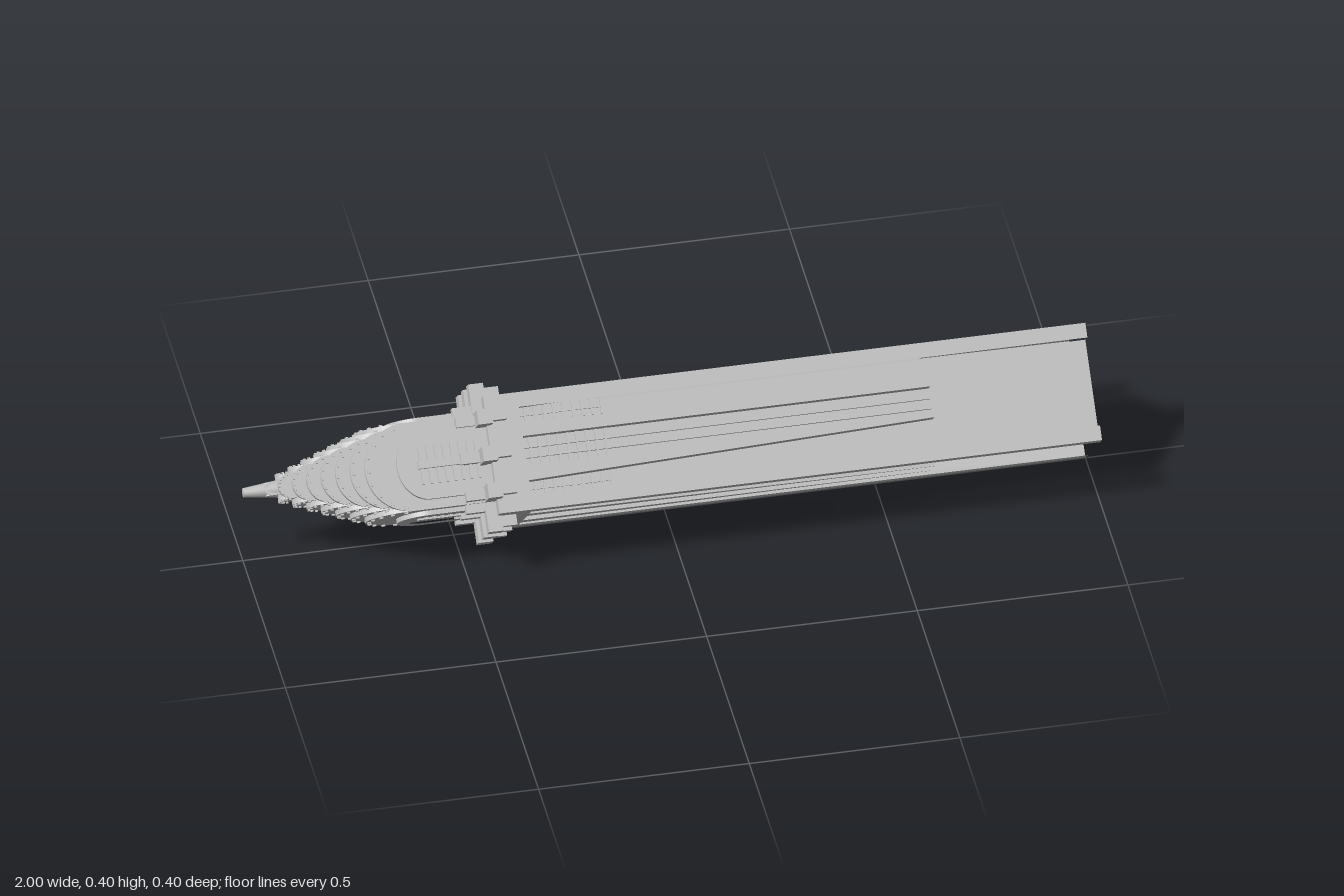
import * as THREE from 'three';
import { mergeGeometries } from 'three/addons/utils/BufferGeometryUtils.js';

const CORE = 0.104;   // half side of the square shaft
const RIM = 0.139;    // outer level of piers and collar
const AXIS = 0.197;   // height of the long axis

const stone = new THREE.MeshStandardMaterial({ color: 0xc0c0c0 });
stone.name = 'paleGrey';

function add(parent, name, geometry) {
  const mesh = new THREE.Mesh(geometry, stone);
  mesh.name = name;
  parent.add(mesh);
  return mesh;
}

// box between limits: x along the axis, n outward from the face, u across the face
function box(x0, x1, n0, n1, u0, u1) {
  return new THREE.BoxGeometry(x1 - x0, n1 - n0, u1 - u0)
    .translate((x0 + x1) / 2, (n0 + n1) / 2, (u0 + u1) / 2);
}

// flat-sided solid between two four-point sections [n, u]
function loft(x0, a, x1, b) {
  const A = a.map(([n, u]) => [x0, n, u]);
  const B = b.map(([n, u]) => [x1, n, u]);
  const pos = [];
  const tri = (...pts) => pts.forEach((p) => pos.push(...p));
  for (let i = 0; i < 4; i++) {
    const j = (i + 1) % 4;
    tri(A[i], A[j], B[j]);
    tri(A[i], B[j], B[i]);
  }
  tri(B[2], B[3], B[0]);
  tri(B[2], B[0], B[1]);
  tri(A[2], A[0], A[3]);
  tri(A[2], A[1], A[0]);
  const g = new THREE.BufferGeometry();
  g.setAttribute('position', new THREE.Float32BufferAttribute(pos, 3));
  g.computeVertexNormals();
  return g;
}

// arch outline opening toward +x, rounded toward -x
function arch(path, base, spring, rise, w) {
  path.moveTo(base, -w);
  path.lineTo(spring, -w);
  path.absellipse(spring, 0, rise, w, -Math.PI / 2, Math.PI / 2, true);
  path.lineTo(base, w);
  path.closePath();
  return path;
}

function extrudeOut(shape, n0, n1) {
  return new THREE.ExtrudeGeometry(shape, { depth: n1 - n0, bevelEnabled: false, curveSegments: 16 })
    .rotateX(-Math.PI / 2).translate(0, n0, 0);
}

// crown tiers: spring line and half width
const TIERS = [];
for (let i = 0; i < 8; i++) {
  TIERS.push({ spring: -0.62 - 0.045 * i, w: CORE * Math.pow(1 - i / 8, 0.9) });
}

function buildFace() {
  const face = new THREE.Group();

  // tapering corner rail that hollows into a thin angle at the far end
  add(face, 'cornerRail', loft(
    -0.43, [[CORE, CORE], [RIM, CORE], [RIM, RIM], [CORE, RIM]],
    1, [[RIM - 0.003, RIM - 0.003], [RIM, CORE], [RIM, RIM], [CORE, RIM]]));

  // piers narrowing toward the central bay
  for (const s of [-1, 1]) {
    const section = (outer) => {
      const pts = [[CORE, 0.035 * s], [RIM, 0.035 * s], [RIM, outer * s], [CORE, outer * s]];
      return s > 0 ? pts : pts.reverse();
    };
    add(face, 'taperedPier', loft(-0.36, section(0.07), 0.617, section(0.038)));
  }

  // collar band
  add(face, 'collar', box(-0.43, -0.35, 0.09, RIM, -RIM, RIM));

  // brackets with prongs on the collar
  for (const u of [-0.087, 0, 0.087]) {
    add(face, 'bracket', mergeGeometries([
      box(-0.455, -0.42, 0.1, 0.175, u - 0.0175, u + 0.0175),
      box(-0.42, -0.385, RIM - 0.005, 0.164, u - 0.01, u + 0.01),
      box(-0.5, -0.455, 0.1, 0.125, u - 0.012, u + 0.012),
    ]));
  }

  // window mullions and rungs on the shaft
  const bars = [];
  for (const u of [-0.0117, 0.0117]) bars.push(box(-0.35, 0.617, 0.1, 0.114, u - 0.0025, u + 0.0025));
  for (const u of [-0.087, 0.087]) bars.push(box(-0.35, -0.15, 0.1, 0.11, u - 0.002, u + 0.002));
  for (let i = 0; i < 9; i++) {
    const x = -0.335 + i * 0.0225;
    bars.push(box(x, x + 0.007, 0.1, 0.11, -0.035, 0.035));
    for (const s of [-0.087, 0.087]) bars.push(box(x, x + 0.007, 0.1, 0.109, s - 0.017, s + 0.017));
  }
  add(face, 'shaftWindowBars', mergeGeometries(bars));

  // arched window surround on the head
  const surround = arch(new THREE.Shape(), -0.44, -0.58, 0.07, 0.082);
  surround.holes.push(arch(new THREE.Path(), -0.45 + 0.015, -0.58, 0.042, 0.05));
  const outer = arch(new THREE.Shape(), -0.43, -0.58, 0.07, 0.082);
  outer.holes.push(arch(new THREE.Path(), -0.44, -0.58, 0.042, 0.05));
  add(face, 'windowArch', extrudeOut(outer, 0.1, 0.115));

  const grille = [box(-0.6, -0.44, 0.1, 0.115, -0.009, 0.009)];
  for (let i = 0; i < 8; i++) {
    const x = -0.595 + i * 0.019;
    grille.push(box(x, x + 0.007, 0.1, 0.111, -0.045, 0.045));
  }
  add(face, 'archGrille', mergeGeometries(grille));

  // small raised studs following each crown arch
  const studs = [];
  TIERS.slice(0, 7).forEach(({ spring, w }) => {
    const r = w * 0.92;
    const size = 0.002 + w * 0.02;
    for (let k = -4; k <= 4; k++) {
      const a = k * 0.34;
      const x = spring - r * Math.cos(a);
      const u = r * Math.sin(a);
      studs.push(box(x - size, x + size, w - 0.002, w + 0.004, u - size, u + size));
    }
  });
  add(face, 'crownStuds', mergeGeometries(studs));
  return face;
}

export function createModel() {
  const model = new THREE.Group();
  model.name = 'spireTower';
  const tower = new THREE.Group();
  tower.name = 'tower';
  tower.position.y = AXIS;
  tower.rotation.x = Math.PI / 4;
  model.add(tower);

  // square shaft
  add(tower, 'shaft', box(-0.62, 1, -CORE, CORE, -CORE, CORE));

  // crown of crossed arch vaults
  TIERS.forEach(({ spring, w }) => {
    for (const turn of [0, Math.PI / 2]) {
      const vault = extrudeOut(arch(new THREE.Shape(), spring + 0.06, spring, w, w), -w, w);
      add(tower, 'crownTier', vault.rotateX(turn));
    }
  });

  // blunt tip
  add(tower, 'tip', new THREE.CylinderGeometry(0.011, 0.02, 0.08, 12)
    .rotateZ(Math.PI / 2).translate(-0.96, 0, 0));

  // four identical sides
  for (let k = 0; k < 4; k++) {
    const face = buildFace();
    face.name = 'side' + (k + 1);
    face.rotation.x = k * Math.PI / 2;
    tower.add(face);
  }
  return model;
}
